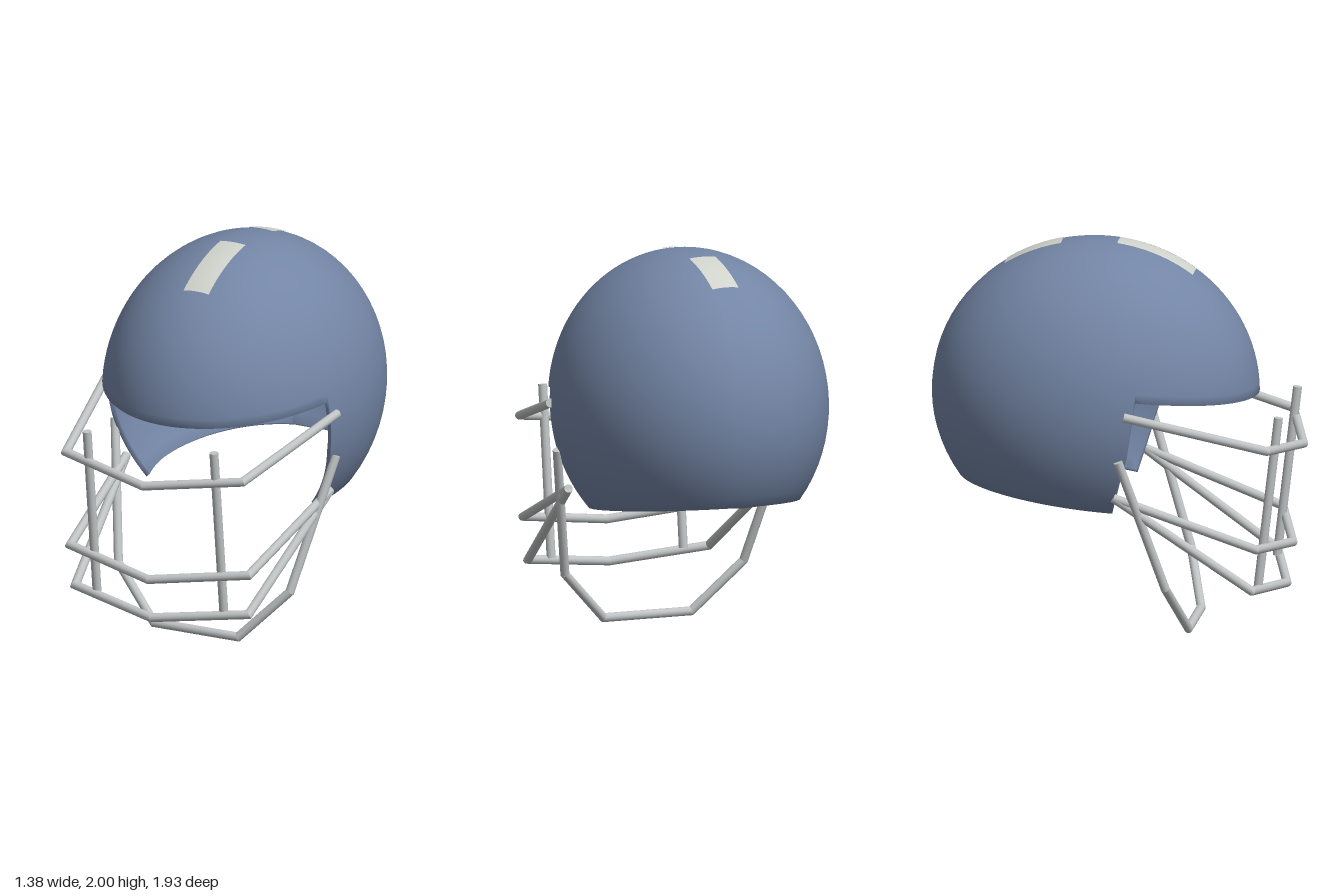
import * as THREE from 'three';
import { mergeVertices } from 'three/addons/utils/BufferGeometryUtils.js';

const shellBlue = new THREE.MeshStandardMaterial({ color: 0x7385a5 });
shellBlue.name = 'shellBlue';
const cageGrey = new THREE.MeshStandardMaterial({ color: 0xbfc3c3 });
cageGrey.name = 'cageGrey';
const stripeGrey = new THREE.MeshStandardMaterial({ color: 0xd0d3cc });
stripeGrey.name = 'stripeGrey';

// The shell is an ellipsoid cut along a line drawn in the z-y plane
const CENTRE = new THREE.Vector3(0, 1.21, -0.13);
const RADII = new THREE.Vector3(0.69, 0.79, 0.84);
const THICKNESS = 0.022;

function makeGeometry(positions, index) {
  const g = new THREE.BufferGeometry();
  g.setAttribute('position', new THREE.Float32BufferAttribute(positions, 3));
  g.setIndex(index);
  return g;
}

// Quads of a grid stored row by row
function gridIndex(rows, cols, closed) {
  const index = [];
  for (let j = 0; j < rows - 1; j++) {
    for (let i = 0; i < (closed ? cols : cols - 1); i++) {
      const n = (i + 1) % cols;
      const a = j * cols + i, b = j * cols + n, c = a + cols, d = b + cols;
      index.push(a, c, d, a, d, b);
    }
  }
  return index;
}

// Cut edge as [azimuth, polar angle] pairs: front lip, cheek edge, lower rim
function cutEdge() {
  const corners = [[0.71, 1.215], [0.16, 1.285], [0.115, 1.0], [0.02, 0.67], [-0.822, 0.773]];
  const steps = [24, 8, 10, 32];
  const edge = [];
  const add = (z, y, onMiddle) => {
    let Z = (z - CENTRE.z) / RADII.z, Y = (y - CENTRE.y) / RADII.y;
    const r = Math.hypot(Z, Y);
    if (onMiddle || r > 1) { Z /= r; Y /= r; }
    const X = onMiddle ? 0 : Math.sqrt(Math.max(0, 1 - Z * Z - Y * Y));
    edge.push([Math.atan2(X, Z), Math.acos(Y)]);
  };
  steps.forEach((n, s) => {
    const [a, b] = [corners[s], corners[s + 1]];
    for (let k = 0; k < n; k++) {
      const u = k / n;
      // Closer samples where the edge meets the middle plane
      const t = s === 0 ? 1 - Math.cos(u * Math.PI / 2) : s === 3 ? Math.sin(u * Math.PI / 2) : u;
      add(a[0] + (b[0] - a[0]) * t, a[1] + (b[1] - a[1]) * t, s === 0 && k === 0);
    }
  });
  add(...corners[4], true);
  const mirrored = edge.slice(1, -1).reverse().map(([phi, theta]) => [-phi, theta]);
  return edge.concat(mirrored);
}

// Outer skin from crown to rim, then the inner skin back to the crown
function shellGeometry() {
  const edge = cutEdge(), N = 26, positions = [];
  for (let row = 0; row < 2 * N + 2; row++) {
    const inner = row > N;
    const j = inner ? 2 * N + 1 - row : row;
    const t = inner ? THICKNESS : 0;
    for (const [phi, limit] of edge) {
      const theta = limit * j / N, s = Math.sin(theta);
      positions.push(
        CENTRE.x + (RADII.x - t) * s * Math.sin(phi),
        CENTRE.y + (RADII.y - t) * Math.cos(theta),
        CENTRE.z + (RADII.z - t) * s * Math.cos(phi));
    }
  }
  const g = mergeVertices(makeGeometry(positions, gridIndex(2 * N + 2, edge.length, true)), 1e-5);
  g.computeVertexNormals();
  return g;
}

// Thin patch lying on the crown between two z values
function stripeGeometry(zBack, zFront) {
  const rows = 13, cols = 7, lift = 0.005, positions = [];
  for (let j = 0; j < rows; j++) {
    for (let i = 0; i < cols; i++) {
      const x = -0.073 + 0.146 * i / (cols - 1);
      const z = zBack + (zFront - zBack) * j / (rows - 1);
      const X = x / RADII.x, Z = (z - CENTRE.z) / RADII.z;
      positions.push(x, CENTRE.y + lift + RADII.y * Math.sqrt(1 - X * X - Z * Z), z);
    }
  }
  const g = makeGeometry(positions, gridIndex(rows, cols, false));
  g.computeVertexNormals();
  return g;
}

// Round bar along a bent line, with mitred bends and flat ends
function barGeometry(points, radius = 0.023, sides = 14) {
  const pts = points.map(p => new THREE.Vector3(...p));
  const dirs = pts.slice(1).map((p, i) => p.clone().sub(pts[i]).normalize());
  const positions = [], normals = [], index = [];
  const put = (p, n) => { positions.push(...p.toArray()); normals.push(...n.toArray()); };
  dirs.forEach((d, s) => {
    const ref = Math.abs(d.y) > 0.9 ? new THREE.Vector3(0, 0, 1) : new THREE.Vector3(0, 1, 0);
    const u = new THREE.Vector3().crossVectors(ref, d).normalize();
    const v = new THREE.Vector3().crossVectors(d, u);
    [s, s + 1].forEach((e, side) => {
      const plane = d.clone();
      if (dirs[e - 1] && dirs[e]) plane.copy(dirs[e - 1]).add(dirs[e]).normalize();
      const base = positions.length / 3;
      const ring = [];
      for (let k = 0; k <= sides; k++) {
        const a = k / sides * Math.PI * 2;
        const n = u.clone().multiplyScalar(Math.cos(a)).addScaledVector(v, Math.sin(a));
        const off = n.clone().multiplyScalar(radius);
        off.addScaledVector(d, -off.dot(plane) / d.dot(plane));
        ring.push(off.add(pts[e]));
        put(ring[k], n);
        if (side === 1 && k < sides) {
          const b = base + k, a0 = b - sides - 1;
          index.push(a0, a0 + 1, b + 1, a0, b + 1, b);
        }
      }
      // End cap
      if (e === 0 || e === pts.length - 1) {
        const n = d.clone().multiplyScalar(side ? 1 : -1);
        const c = positions.length / 3;
        put(pts[e], n);
        ring.forEach(p => put(p, n));
        for (let k = 1; k <= sides; k++) {
          if (side) index.push(c, c + k, c + k + 1); else index.push(c, c + k + 1, c + k);
        }
      }
      // Keep the two rings adjacent by moving the first ring after its cap
      if (side === 0 && e === 0) ring.forEach((p, k) => {
        const a = k / sides * Math.PI * 2;
        put(p, u.clone().multiplyScalar(Math.cos(a)).addScaledVector(v, Math.sin(a)));
      });
    });
  });
  const g = makeGeometry(positions, index);
  g.setAttribute('normal', new THREE.Float32BufferAttribute(normals, 3));
  return g;
}

// Complete a bar given its left half; a point on x = 0 is not repeated
function mirrorPath(half) {
  const other = half.filter(p => p[0] > 0).reverse().map(([x, y, z]) => [-x, y, z]);
  return half.concat(other);
}

export function createModel() {
  const model = new THREE.Group();
  model.name = 'helmet';
  const add = (parent, name, geometry, material) => {
    const mesh = new THREE.Mesh(geometry, material);
    mesh.name = name;
    parent.add(mesh);
  };

  add(model, 'shell', shellGeometry(), shellBlue);
  add(model, 'frontStripe', stripeGeometry(-0.01, 0.38), stripeGrey);
  add(model, 'backStripe', stripeGeometry(-0.59, -0.3), stripeGrey);

  // Face cage
  const cage = new THREE.Group();
  cage.name = 'faceCage';
  model.add(cage);
  const bars = {
    browBar: [[0.67, 1.215, 0.1], [0.515, 1.025, 0.82], [0, 0.957, 0.94]],
    middleBar: [[0.595, 0.775, 0.04], [0.52, 0.51, 0.765], [0, 0.44, 0.885]],
    lowerBar: [[0.595, 0.775, 0.04], [0.505, 0.29, 0.74], [0, 0.227, 0.855]],
    chinBar: [[0.645, 0.975, 0.07], [0.5, 0.285, 0.295], [0.245, 0.027, 0.38]],
  };
  for (const [name, half] of Object.entries(bars)) {
    add(cage, name, barGeometry(mirrorPath(half)), cageGrey);
  }
  for (const [name, x] of [['leftUprightBar', 0.37], ['rightUprightBar', -0.37]]) {
    add(cage, name, barGeometry([[x, 1.17, 0.86], [x, 0.285, 0.755]]), cageGrey);
  }
  return model;
}
